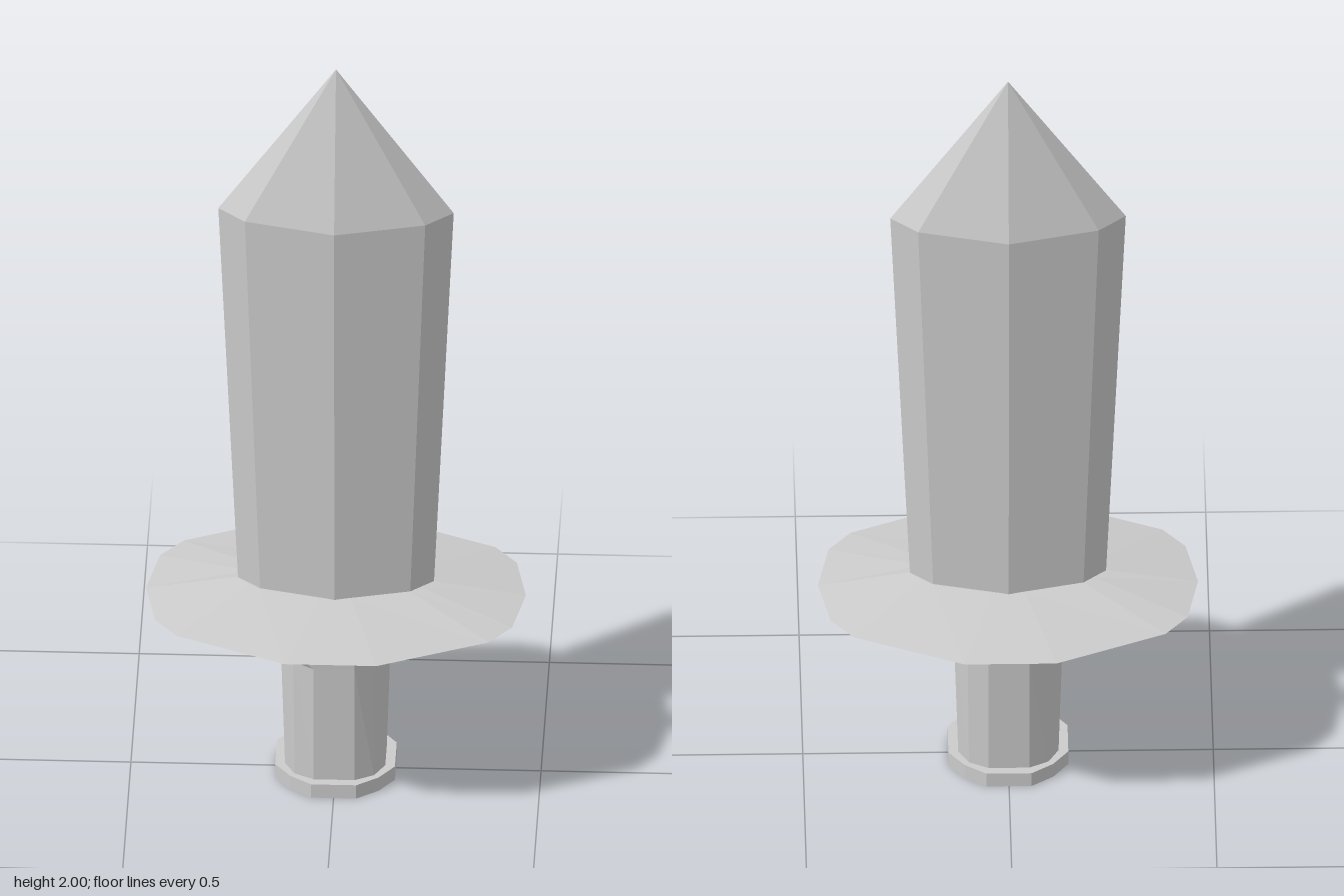
import * as THREE from 'three';

const material = new THREE.MeshStandardMaterial({ color: 0xcccccc, flatShading: true });

// Mirrors a quarter outline of [x, z] points (from +x towards +z) into a closed loop.
function mirrorOutline(quarter) {
  const half = [...quarter];
  for (const [x, z] of [...quarter].reverse()) if (x > 0) half.push([-x, z]);
  const loop = [...half];
  for (const [x, z] of [...half].reverse()) if (z > 0) loop.push([x, -z]);
  return loop;
}

const scaled = (quarter, sx, sz = sx) => quarter.map(([x, z]) => [x * sx, z * sz]);

// Skins a stack of [y, quarter outline] sections, bottom to top, with closed ends.
// An optional tip height finishes the top in a point.
function loft(name, sections, tipY) {
  const rings = sections.map(([y, q]) => mirrorOutline(q).map(([x, z]) => new THREE.Vector3(x, y, z)));
  const n = rings[0].length;
  const last = rings[rings.length - 1];
  const bottom = new THREE.Vector3(0, sections[0][0], 0);
  const top = new THREE.Vector3(0, tipY ?? sections[sections.length - 1][0], 0);
  const points = [];
  for (let i = 0; i < n; i++) {
    const j = (i + 1) % n;
    points.push(bottom, rings[0][i], rings[0][j]);
    for (let k = 0; k + 1 < rings.length; k++) {
      const lower = rings[k], upper = rings[k + 1];
      points.push(lower[i], upper[i], upper[j], lower[i], upper[j], lower[j]);
    }
    points.push(top, last[j], last[i]);
  }
  const geometry = new THREE.BufferGeometry().setFromPoints(points);
  geometry.computeVertexNormals();
  const mesh = new THREE.Mesh(geometry, material);
  mesh.name = name;
  return mesh;
}

export function createModel() {
  const group = new THREE.Group();
  group.name = 'dagger';

  // Blade: flattened eight-sided section, widening upwards to a pointed tip
  const blade = [[0.287, 0], [0.22, 0.06], [0, 0.115]];
  group.add(loft('blade', [[0.52, scaled(blade, 0.83)], [1.595, blade]], 2));

  // Guard: thin faceted disc with a sharp rim
  const rim = [[0.463, 0], [0.435, 0.15], [0.38, 0.22], [0.112, 0.34]];
  const guardTop = [[0.243, 0], [0.21, 0.03], [0.185, 0.052], [0.04, 0.09]];
  const guardBase = [[0.15, 0], [0.14, 0.07], [0.13, 0.13], [0.045, 0.135]];
  group.add(loft('guard', [
    [0.423, guardBase],
    [0.45, scaled(rim, 0.66, 0.7)],
    [0.502, rim],
    [0.538, guardTop],
  ]));

  // Grip: twelve-sided, its corners flaring out under the guard
  const grip = [[0.122, 0.05], [0.097, 0.097], [0.05, 0.122]];
  group.add(loft('grip', [
    [0.03, grip],
    [0.36, [[0.132, 0.05], [0.1, 0.1], [0.05, 0.132]]],
    [0.43, [[0.136, 0.055], [0.128, 0.128], [0.055, 0.136]]],
  ]));

  // Pommel: short collar at the foot
  const pommel = [[0.146, 0.055], [0.108, 0.108], [0.055, 0.146]];
  group.add(loft('pommel', [[0, pommel], [0.038, pommel]]));

  return group;
}
